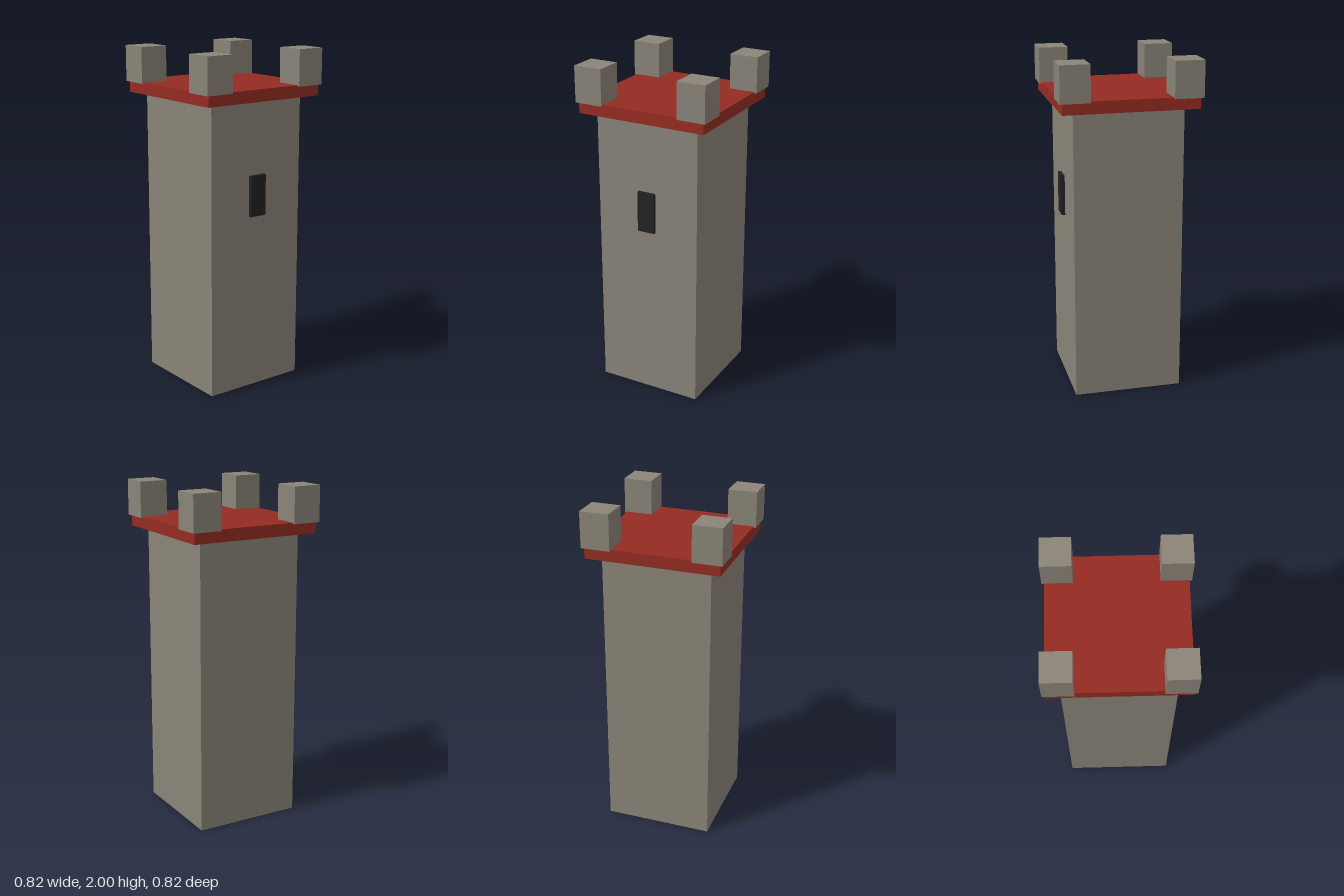
import * as THREE from 'three';

const material = (name, color) => {
  const m = new THREE.MeshStandardMaterial({ color });
  m.name = name;
  return m;
};

export function createModel() {
  const tower = new THREE.Group();
  tower.name = 'tower';

  const stone = material('stone', 0x8a8478);
  const red = material('red roof', 0x942c22);
  const dark = material('dark opening', 0x222222);

  // Box placed by the height of its base
  const addBox = (name, mat, [w, h, d], [x, base, z]) => {
    const mesh = new THREE.Mesh(new THREE.BoxGeometry(w, h, d), mat);
    mesh.name = name;
    mesh.position.set(x, base + h / 2, z);
    tower.add(mesh);
  };

  // Square shaft and overhanging roof slab
  addBox('shaft', stone, [0.642, 1.724, 0.642], [0, 0, 0]);
  addBox('roofSlab', red, [0.788, 0.071, 0.788], [0, 1.724, 0]);

  // Narrow window, standing slightly proud of the front wall
  addBox('window', dark, [0.106, 0.242, 0.04], [0, 1.051, 0.322]);

  // Corner battlements, sunk a little into the roof
  for (const x of [-1, 1]) {
    for (const z of [-1, 1]) {
      const name = (z > 0 ? 'front' : 'back') + (x > 0 ? 'Left' : 'Right') + 'Battlement';
      addBox(name, stone, [0.171, 0.212, 0.171], [x * 0.3225, 1.788, z * 0.3225]);
    }
  }

  return tower;
}
